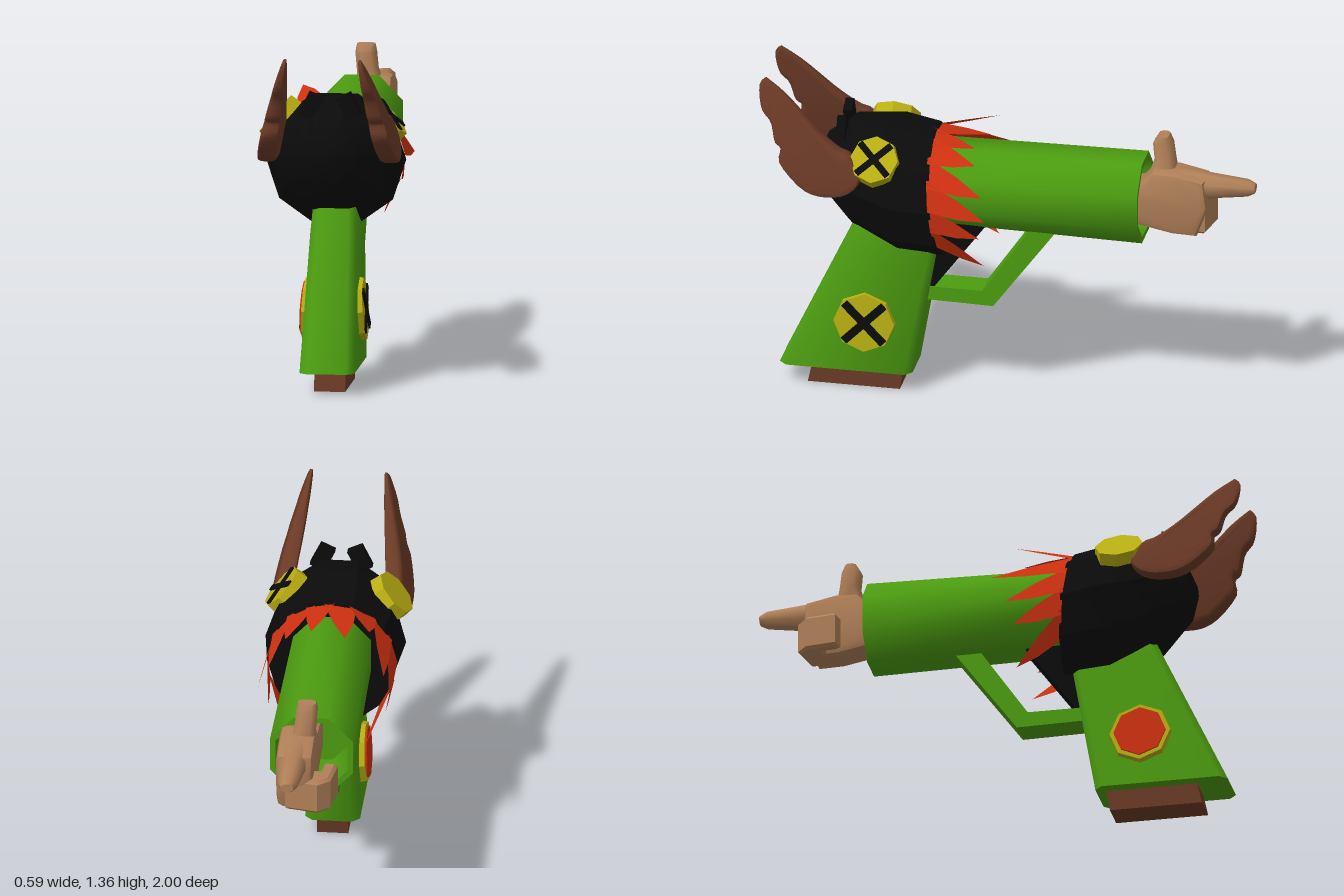
import * as THREE from 'three';
import { toCreasedNormals } from 'three/addons/utils/BufferGeometryUtils.js';

const material = (name, color, side = THREE.FrontSide) => {
  const m = new THREE.MeshStandardMaterial({ color, side });
  m.name = name;
  return m;
};

const V = (x, y, z) => new THREE.Vector3(x, y, z);

// Skin closed rings; each ring runs counter-clockwise about the direction of travel
function loft(rings, crease = 0.6) {
  const pos = [];
  const tri = (...p) => p.forEach(v => pos.push(v.x, v.y, v.z));
  const n = rings[0].length;
  const centre = r => r.reduce((s, p) => s.add(p), V(0, 0, 0)).divideScalar(n);
  for (let k = 0; k < rings.length - 1; k++) {
    const a = rings[k], b = rings[k + 1];
    for (let i = 0; i < n; i++) {
      const j = (i + 1) % n;
      tri(a[i], a[j], b[j]);
      tri(a[i], b[j], b[i]);
    }
  }
  const first = rings[0], last = rings[rings.length - 1];
  const c0 = centre(first), c1 = centre(last);
  for (let i = 0; i < n; i++) {
    const j = (i + 1) % n;
    tri(c0, first[j], first[i]);
    tri(c1, last[i], last[j]);
  }
  const g = new THREE.BufferGeometry();
  g.setAttribute('position', new THREE.Float32BufferAttribute(pos, 3));
  return toCreasedNormals(g, crease);
}

// Chamfered rectangle in a level plane
function block(y, z0, z1, w, c, x = 0) {
  return [[-w + c, z1], [w - c, z1], [w, z1 - c], [w, z0 + c], [w - c, z0], [-w + c, z0], [-w, z0 + c], [-w, z1 - c]]
    .map(([px, pz]) => V(x + px, y, pz));
}

// Side outline of [z, y] points, extruded from x0 to x1
function sideExtrude(points, x0, x1, bevel = 0, smooth = false) {
  const pts = points.map(p => new THREE.Vector2(...p));
  const shape = smooth ? new THREE.Shape(new THREE.SplineCurve([...pts, pts[0]]).getPoints(48).slice(0, -1)) : new THREE.Shape(pts);
  const g = new THREE.ExtrudeGeometry(shape, {
    depth: x1 - x0 - 2 * bevel, bevelEnabled: bevel > 0, bevelThickness: bevel,
    bevelSize: bevel, bevelOffset: -bevel, bevelSegments: 2, curveSegments: 6,
  });
  return g.rotateY(-Math.PI / 2).translate(x1 - bevel, 0, 0);
}

export function createModel() {
  const green = material('green', 0x4c9c10);
  const black = material('black', 0x0b0b0c);
  const yellow = material('yellow', 0xb8ae12);
  const brown = material('brown', 0x6b3a26);
  const tan = material('tan', 0xb08058);
  const red = material('red', 0xcc3010, THREE.DoubleSide);

  const model = new THREE.Group();
  const add = (name, geometry, mat, parent = model) => {
    const m = new THREE.Mesh(geometry, mat);
    m.name = name;
    parent.add(m);
    return m;
  };

  // Hollow eight-sided barrel, opening toward -z
  const profile = [[0, -0.3], [0.176, -0.3], [0.187, 0.54], [0.162, 0.54], [0.162, 0.3], [0, 0.3]]
    .map(p => new THREE.Vector2(...p));
  const barrel = new THREE.LatheGeometry(profile, 8, Math.PI / 8).rotateX(-Math.PI / 2);
  add('barrel', toCreasedNormals(barrel.scale(0.96, 1, 1).translate(0, 0.908, 0), 0.9), green);

  // Slanted grip and its base
  add('grip', loft([
    block(0.085, 0.39, 0.93, 0.11, 0.03, 0.01),
    block(0.62, 0.295, 0.68, 0.092, 0.028, 0.01),
    block(0.73, 0.28, 0.63, 0.085, 0.028, 0.01),
    block(0.82, 0.28, 0.58, 0.07, 0.025, 0.01),
  ], 0.9), green);
  add('gripBase', sideExtrude([[0.82, 0], [0.445, 0], [0.43, 0.09], [0.8, 0.09]], -0.05, 0.075), brown);

  // Trigger guard and trigger web
  add('triggerGuard', sideExtrude([
    [-0.19, 0.75], [0.066, 0.4], [0.34, 0.405], [0.34, 0.463], [0.11, 0.463], [-0.085, 0.75],
  ], -0.05, 0.07), green);
  add('triggerWeb', sideExtrude([[0.36, 0.64], [0.32, 0.465], [0.305, 0.465], [0.1, 0.745], [0.3, 0.76]], -0.05, 0.07), black);

  // Rounded head at the front of the barrel
  const headRings = [
    [0.285, 0.26, 0.61, 1.125], [0.45, 0.282, 0.625, 1.15], [0.64, 0.225, 0.715, 1.14],
    [0.755, 0.12, 0.83, 1.06], [0.79, 0.035, 0.92, 0.98],
  ].map(([z, rx, y0, y1], k) => Array.from({ length: 10 }, (_, i) => {
    const a = i * Math.PI / 5;
    const dy = Math.sin(a) * (y1 - y0) / 1.9;
    return V(rx * Math.cos(a), (y0 + y1) / 2 + dy, z + (k ? 0 : dy * 0.09));
  }));
  add('head', loft(headRings, 0.5), black);

  // Two small prongs on top of the head
  for (const s of [-1, 1]) {
    const prong = add('sightProng', new THREE.BoxGeometry(0.065, 0.1, 0.035), black);
    prong.position.set(s * 0.075, 1.132, 0.68);
    prong.rotation.z = s * 0.45;
  }

  // Eight-sided discs, with a cross or a coloured centre
  function disc(name, r, thickness, position, tilt, mark) {
    const g = new THREE.Group();
    g.name = name;
    add('disc', toCreasedNormals(new THREE.CylinderGeometry(r * 0.95, r, thickness, 8), 0.5), yellow, g);
    if (mark === 'cross') {
      for (const s of [-1, 1]) {
        const bar = add('crossBar', new THREE.BoxGeometry(r * 1.75, 0.009, r * 0.25), black, g);
        bar.position.y = thickness / 2 + 0.003;
        bar.rotation.y = s * Math.PI / 4;
      }
    }
    if (mark === 'centre') {
      const c = add('discCentre', new THREE.CylinderGeometry(r * 0.82, r * 0.82, 0.008, 8), red, g);
      c.position.y = thickness / 2 + 0.003;
    }
    g.position.copy(position);
    g.rotation.z = -tilt;
    model.add(g);
  }
  disc('leftEye', 0.103, 0.05, V(0.208, 1.06, 0.52), 0.85, 'cross');
  disc('rightEye', 0.103, 0.05, V(-0.218, 1.06, 0.52), -0.85);
  disc('leftGripBadge', 0.13, 0.04, V(0.112, 0.303, 0.58), 1.51, 'cross');
  disc('rightGripBadge', 0.13, 0.04, V(-0.095, 0.303, 0.58), -1.51, 'centre');

  // Lobed ears: a side outline bent outward and thinned toward the tip
  const earOutline = [
    [0.975, 1.362], [0.999, 1.33], [0.985, 1.24], [0.945, 1.19], [0.925, 1.115], [0.9, 1.09], [0.9, 1.03],
    [0.81, 0.94], [0.72, 0.912], [0.62, 0.93], [0.568, 1.0], [0.615, 1.08], [0.67, 1.105], [0.755, 1.17], [0.89, 1.3],
  ];
  const ear = sideExtrude(earOutline, -0.04, 0.04, 0.02, true);
  const p = ear.attributes.position;
  for (let i = 0; i < p.count; i++) {
    const t = THREE.MathUtils.clamp((p.getY(i) - 0.91) / 0.45, 0, 1);
    p.setX(i, 0.25 - 0.1 * t + p.getX(i) * (1 - 0.8 * t * t));
  }
  const earGeometry = toCreasedNormals(ear, 0.7);
  for (const s of [-1, 1]) add(s > 0 ? 'leftEar' : 'rightEar', earGeometry, brown).scale.x = s;

  // Flame-shaped collar: thin leaves from the head's rim along the barrel
  const rim = deg => {
    const a = THREE.MathUtils.degToRad(deg);
    return V(0.262 * Math.cos(a), 0.872 + 0.256 * Math.sin(a), 0.295 + 0.025 * Math.sin(a));
  };
  const flames = [
    [112, 82, V(-0.07, 1.09, 0.1)], [92, 66, V(0.07, 1.09, 0.14)],
    [76, 46, V(0.17, 1.06, 0.12)], [52, 24, V(0.235, 0.95, 0.08)],
    [30, 2, V(0.275, 0.865, 0.06)], [6, -20, V(0.235, 0.77, 0.09)], [-14, -42, V(0.155, 0.615, 0.087)],
    [104, 132, V(-0.17, 1.13, 0.087)], [128, 156, V(-0.235, 0.98, 0)],
    [150, 178, V(-0.25, 0.865, 0.06)], [174, 200, V(-0.235, 0.77, 0.09)], [194, 222, V(-0.155, 0.615, 0.087)],
  ];
  for (const [a0, a1, tip] of flames) {
    const b0 = rim(a0), b1 = rim(a1);
    const s0 = b0.clone().lerp(tip, 0.5).lerp(b1, -0.08), s1 = b1.clone().lerp(tip, 0.5).lerp(b0, -0.08);
    const g = new THREE.BufferGeometry().setFromPoints([b0, b1, s1, b0, s1, s0, s0, s1, tip]);
    g.computeVertexNormals();
    add('flame', g, red);
  }

  // Pointing hand at the barrel's open end
  const hand = new THREE.Group();
  hand.name = 'hand';
  model.add(hand);
  add('palm', toCreasedNormals(sideExtrude([
    [-0.35, 0.99], [-0.54, 1.01], [-0.59, 1.07], [-0.68, 1.07], [-0.8, 1.045], [-0.815, 0.93],
    [-0.768, 0.802], [-0.67, 0.805], [-0.54, 0.83], [-0.35, 0.85],
  ], -0.03, 0.118, 0.025), 0.7), tan, hand);
  const finger = [[-0.66, 0.045, 0.07, 1.015, 0.055], [-0.82, 0.05, 0.05, 1.01, 0.048],
    [-0.97, 0.053, 0.037, 1.015, 0.032], [-1.0, 0.053, 0.025, 1.015, 0.018]]
    .map(([z, x, rx, y, ry]) => Array.from({ length: 8 }, (_, i) => {
      const a = (i + 0.5) * Math.PI / 4;
      return V(x + rx * 1.08 * Math.cos(a), y - ry * 1.08 * Math.sin(a), z);
    }));
  add('indexFinger', loft(finger, 1), tan, hand);
  add('thumb', loft([
    block(1.02, -0.68, -0.56, 0.05, 0.02, 0.03), block(1.1, -0.665, -0.585, 0.042, 0.02, 0.015),
    block(1.165, -0.655, -0.578, 0.042, 0.02, 0.01), block(1.198, -0.64, -0.598, 0.036, 0.012, 0.01),
  ], 0.9), tan, hand);

  // Curled fingers: a hook seen from above, given height
  const hook = new THREE.Shape([
    [0.08, -0.8], [-0.05, -0.825], [-0.1, -0.785], [-0.118, -0.66], [-0.065, -0.65], [-0.055, -0.72], [0.08, -0.7],
  ].map(([x, z]) => new THREE.Vector2(x, -z)));
  const curled = new THREE.ExtrudeGeometry(hook, {
    depth: 0.12, bevelEnabled: true, bevelSize: 0.012, bevelOffset: -0.012, bevelThickness: 0.012, bevelSegments: 1,
  }).rotateX(-Math.PI / 2).translate(0, 0.815, 0);
  add('curledFingers', toCreasedNormals(curled, 0.7), tan, hand);

  return model;
}
